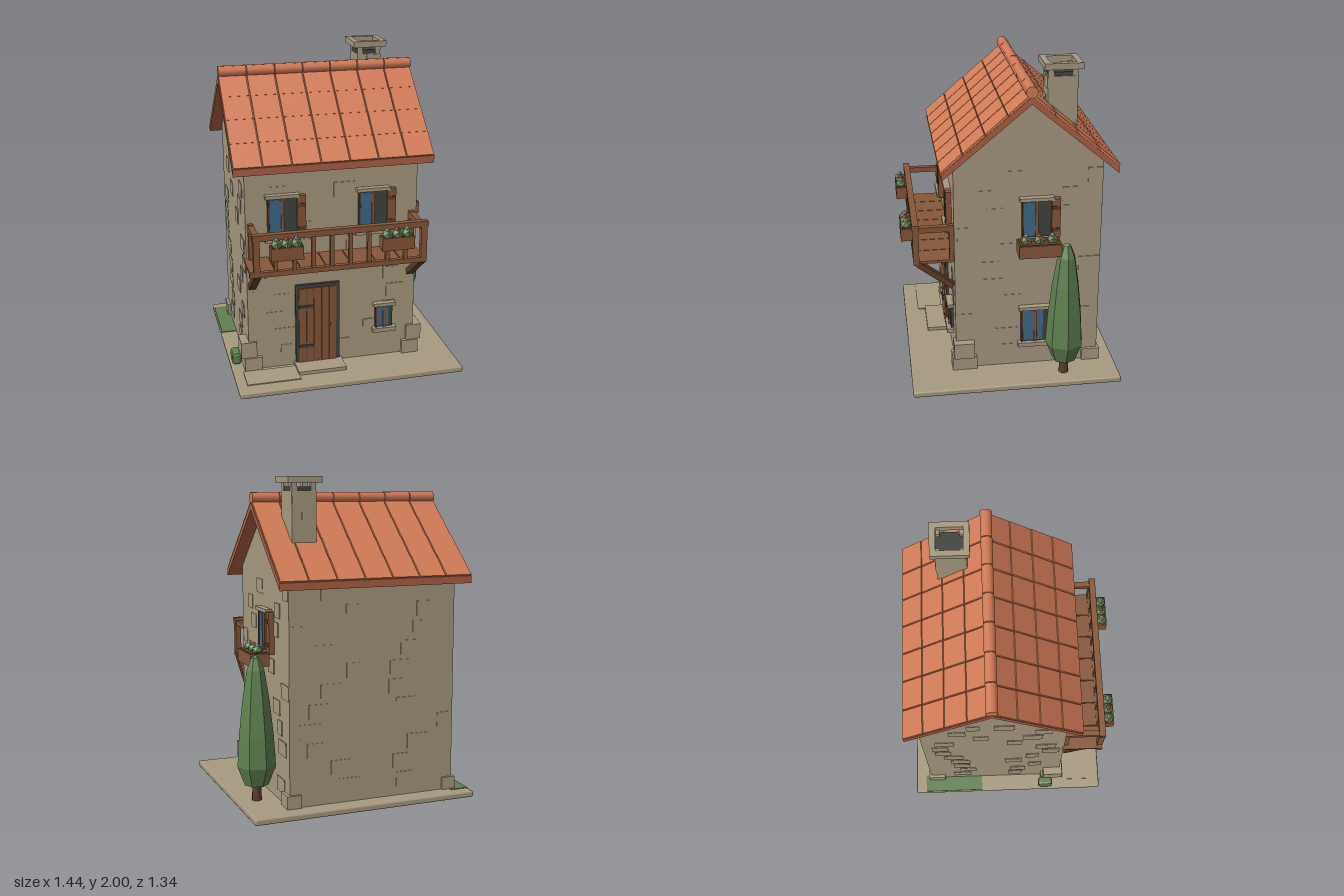
import * as THREE from 'three';
import { RoundedBoxGeometry } from 'three/addons/geometries/RoundedBoxGeometry.js';

const mat = (name, color) => {
  const m = new THREE.MeshStandardMaterial({ color });
  m.name = name;
  return m;
};
const stone = mat('stone', 0xa89a80);
const tile = mat('terracotta', 0xd27b56);
const tileDark = mat('dark terracotta', 0xae6145);
const wood = mat('wood', 0x87573a);
const darkWood = mat('dark wood', 0x5f3d29);
const charcoal = mat('charcoal', 0x40433e);
const glass = mat('glass', 0x406a8a);
const leaf = mat('leaf', 0x5f8050);
const red = mat('red petals', 0xc0583c);
const pale = mat('pale petals', 0xb3a496);
leaf.flatShading = true;

function add(parent, name, geo, m, x = 0, y = 0, z = 0) {
  const mesh = new THREE.Mesh(geo, m);
  mesh.name = name;
  mesh.position.set(x, y, z);
  parent.add(mesh);
  return mesh;
}
// Box given by its limits on each axis
function box(parent, name, m, x0, x1, y0, y1, z0, z1) {
  return add(parent, name, new THREE.BoxGeometry(x1 - x0, y1 - y0, z1 - z0), m,
    (x0 + x1) / 2, (y0 + y1) / 2, (z0 + z1) / 2);
}
function group(parent, name, x = 0, y = 0, z = 0, ry = 0) {
  const g = new THREE.Group();
  g.name = name;
  g.position.set(x, y, z);
  g.rotation.y = ry;
  parent.add(g);
  return g;
}
// Profile of [z, y] points extruded along x
function extrudeX(points, x0, x1) {
  const s = new THREE.Shape(points.map(([z, y]) => new THREE.Vector2(-z, y)));
  const g = new THREE.ExtrudeGeometry(s, { depth: x1 - x0, bevelEnabled: false });
  return g.rotateY(Math.PI / 2).translate(x0, 0, 0);
}

// Window facing +z, centred on the wall plane; glass left, dark opening right
function windowUnit(parent, x, y, z, ry, w, h, shutter, sill = true) {
  const g = group(parent, 'window', x, y, z, ry), a = w / 2, b = h / 2;
  box(g, 'windowFrame', charcoal, -a, a, -b, b, -0.01, 0.018);
  box(g, 'glassPane', glass, -a + 0.012, -0.005, -b + 0.01, b - 0.01, 0.016, 0.022);
  if (!shutter) box(g, 'glassPane', glass, 0.012, a * 0.55, -b + 0.01, b - 0.01, 0.016, 0.022);
  box(g, 'mullion', wood, -0.008, 0.01, -b, b, 0, 0.03);
  box(g, 'sideTrim', darkWood, -a, -a + 0.01, -b, b, 0, 0.028);
  box(g, 'lintel', stone, -a - 0.015, a + 0.015, b, b + 0.022, -0.01, 0.04);
  if (sill) box(g, 'sill', stone, -a - 0.02, a + 0.02, -b - 0.028, -b, -0.01, 0.045);
  if (shutter) {
    box(g, 'shutter', wood, a, a + 0.055, -b - 0.01, b + 0.01, 0, 0.035);
    for (const k of [-0.6, 0.6]) box(g, 'shutterBar', darkWood, a + 0.004, a + 0.05, b * k - 0.012, b * k + 0.012, 0.034, 0.04);
  }
}

// Flower box facing +z; origin at the middle of its bottom back edge
function planter(parent, x, y, z, ry, w, d) {
  const g = group(parent, 'planter', x, y, z, ry);
  box(g, 'planterBox', wood, -w / 2, w / 2, 0, 0.08, 0, d);
  box(g, 'planterRim', darkWood, -w / 2 + 0.008, w / 2 - 0.008, 0.076, 0.084, 0.006, d - 0.006);
  for (let i = -1; i <= 1; i++) {
    add(g, 'flowerLeaves', new THREE.IcosahedronGeometry(0.037, 0), leaf, i * w * 0.31, 0.092, d / 2);
    add(g, 'flower', new THREE.IcosahedronGeometry(0.017, 0), i ? pale : red, i * w * 0.31, 0.122, d / 2);
  }
}

export function createModel() {
  const model = new THREE.Group();
  model.name = 'stoneHouse';

  // Ground slab and paving
  add(model, 'ground', new RoundedBoxGeometry(1.44, 0.04, 1.31, 1, 0.012), stone, 0, 0.02, -0.015);
  box(model, 'grass', leaf, -0.715, -0.6, 0.036, 0.044, -0.6, -0.2);
  box(model, 'paving', stone, -0.66, -0.32, 0.036, 0.046, 0.38, 0.55);
  box(model, 'doorStep', stone, -0.325, -0.015, 0.036, 0.062, 0.34, 0.5);

  // Walls with gables
  const L = -0.615, R = 0.47, F = 0.35, B = -0.56, ridgeZ = -0.105;
  add(model, 'walls', extrudeX([[F, 0.035], [F, 1.42], [ridgeZ, 1.81], [B, 1.42], [B, 0.035]], L, R), stone);

  // Slightly raised stones scattered on each wall
  let seed = 11;
  const rnd = () => (seed = (seed * 16807) % 2147483647) / 2147483647;
  const cx = (L + R) / 2, cz = (F + B) / 2;
  const sides = [[cx, F, 0, R - L], [R, cz, Math.PI / 2, F - B], [cx, B, Math.PI, R - L], [L, cz, -Math.PI / 2, F - B]];
  for (const [x, z, ry, w] of sides) {
    const g = group(model, 'wallStones', x, 0, z, ry);
    for (let row = 0; row < 11; row++) {
      for (let k = 0; k < 2; k++) {
        const sw = 0.08 + rnd() * 0.06, u = (rnd() - 0.5) * (w / 2 - sw) + (k - 0.5) * w / 2;
        const y = 0.1 + row * 0.118;
        box(g, 'wallStone', stone, u - sw / 2, u + sw / 2, y, y + 0.09, -0.005, 0.003 + k * 0.002);
      }
    }
  }

  // Corner stones at the foot of the front corners and the back
  for (const [x, s] of [[L, -1], [R, 1]]) {
    const g = group(model, 'cornerStones', x, 0, 0);
    g.scale.x = s;
    const q = (...a) => box(g, 'cornerStone', stone, ...a);
    q(-0.08, 0.03, 0.037, 0.13, 0.22, 0.375);
    q(-0.05, 0.05, 0.13, 0.235, 0.235, 0.365);
    q(-0.07, 0.02, 0.037, 0.12, B - 0.015, B + 0.1);
  }
  for (const g of model.children.filter((c) => c.name === 'cornerStones' && c.scale.x < 0)) {
    // Mirrored by geometry so the faces keep their direction
    g.scale.x = 1;
    g.children.forEach((c) => { c.position.x *= -1; });
  }

  // Roof deck, tiles and ridge
  const rx0 = -0.69, rx1 = 0.55, cols = 7, rows = 4, run = 0.53, drop = 0.445, top = 1.845;
  add(model, 'roofDeck', extrudeX([
    [ridgeZ + run, top - drop - 0.045], [ridgeZ + run, top - drop], [ridgeZ, top], [ridgeZ - run, top - drop],
    [ridgeZ - run, top - drop - 0.045], [ridgeZ, top - 0.045]], rx0, rx1), tileDark);
  const cw = (rx1 - rx0) / cols, len = Math.hypot(run, drop) / rows;
  for (const s of [1, -1]) {
    const g = group(model, 'roofTiles', 0, top, ridgeZ);
    g.rotation.x = s * Math.atan2(drop, run);
    for (let c = 0; c < cols; c++) {
      for (let r = 0; r < rows; r++) {
        const t = add(g, 'roofTile', new THREE.BoxGeometry(cw - 0.008, 0.014, len - 0.004), tile,
          rx0 + (c + 0.5) * cw, 0.006, s * (r + 0.5) * len);
        t.rotation.x = s * 0.025;
      }
    }
  }
  for (let c = 0; c < cols; c++) {
    add(model, 'ridgeTile', new THREE.CylinderGeometry(0.037, 0.037, cw - 0.005, 8).rotateY(Math.PI / 8).rotateZ(Math.PI / 2),
      tile, rx0 + (c + 0.5) * cw, 1.87, ridgeZ);
  }

  // Chimney: shaft, dark flue, corner posts and an open square cap
  const chim = group(model, 'chimney', 0.315, 0, -0.315);
  box(chim, 'chimneyShaft', stone, -0.077, 0.077, 1.45, 1.915, -0.09, 0.09);
  box(chim, 'flue', charcoal, -0.072, 0.072, 1.913, 1.94, -0.082, 0.082);
  for (const x of [-0.06, 0.06]) for (const z of [-0.073, 0.073])
    box(chim, 'capPost', stone, x - 0.016, x + 0.016, 1.91, 1.967, z - 0.016, z + 0.016);
  for (const s of [-1, 1]) {
    const x = s * 0.09, z = s * 0.097;
    box(chim, 'capSide', stone, x - 0.018, x + 0.018, 1.962, 2, -0.079, 0.079);
    box(chim, 'capEnd', stone, -0.108, 0.108, 1.962, 2, z - 0.018, z + 0.018);
  }
  for (const [x, y] of [[-0.03, 1.72], [0.03, 1.84]])
    box(chim, 'chimneyStone', stone, x - 0.045, x + 0.045, y, y + 0.07, -0.094, 0.094);

  // Plank door
  const door = group(model, 'door', -0.172, 0, F);
  box(door, 'doorFrame', charcoal, -0.142, 0.142, 0.05, 0.597, -0.01, 0.018);
  for (let i = 0; i < 5; i++)
    box(door, 'doorPlank', wood, -0.122 + i * 0.049, -0.077 + i * 0.049, 0.06, 0.575, 0.01, 0.026);
  for (const y of [0.175, 0.45]) box(door, 'hinge', charcoal, -0.125, -0.025, y - 0.009, y + 0.009, 0.02, 0.033);
  add(door, 'doorKnob', new THREE.SphereGeometry(0.011, 8, 6), charcoal, 0.072, 0.32, 0.035);

  // Windows
  windowUnit(model, -0.39, 1.06, F, 0, 0.18, 0.25, true);
  windowUnit(model, 0.18, 1.06, F, 0, 0.18, 0.25, true);
  windowUnit(model, 0.265, 0.325, F, 0, 0.115, 0.15, false);
  windowUnit(model, R, 1.06, -0.152, Math.PI / 2, 0.18, 0.24, true, false);
  windowUnit(model, R, 0.325, -0.152, Math.PI / 2, 0.18, 0.23, false);

  // Balcony: planks, rails, balusters and braces
  const bal = group(model, 'balcony');
  const b0 = -0.63, b1 = 0.46, pw = (b1 - b0) / 7;
  for (let i = 0; i < 7; i++)
    box(bal, 'deckPlank', wood, b0 + i * pw, b0 + (i + 1) * pw - 0.005, 0.785, 0.803, F - 0.01, 0.585);
  box(bal, 'deckEdge', wood, b0 - 0.005, b1, 0.778, 0.81, 0.57, 0.598);
  box(bal, 'frontRail', wood, -0.615, 0.465, 1.008, 1.045, 0.562, 0.602);
  for (let i = 0; i < 10; i++) {
    const x = -0.59 + i * 0.1145, h = i % 9 ? 0.012 : 0.019;
    box(bal, 'baluster', wood, x - h, x + h, 0.8, 1.01, 0.582 - h, 0.582 + h);
  }
  for (const x of [-0.585, 0.435]) {
    box(bal, 'sideRail', wood, x - 0.018, x + 0.018, 0.99, 1.025, F - 0.01, 0.58);
    box(bal, 'wallPost', wood, x - 0.016, x + 0.016, 0.8, 1.03, F, F + 0.028);
    const brace = box(bal, 'brace', darkWood, x - 0.022, x + 0.022, -0.018, 0.018, -0.135, 0.135);
    brace.position.set(x, 0.7, 0.465);
    brace.rotation.x = -0.66;
  }

  // Flower boxes
  planter(model, -0.418, 0.9, 0.598, 0, 0.195, 0.068);
  planter(model, 0.257, 0.9, 0.598, 0, 0.2, 0.068);
  planter(model, 0.5, 0.858, -0.158, Math.PI / 2, 0.26, 0.12);

  // Cypress tree and bush
  const tree = group(model, 'tree', 0.6, 0, -0.32);
  add(tree, 'trunk', new THREE.CylinderGeometry(0.026, 0.032, 0.14, 7), darkWood, 0, 0.1, 0);
  const outline = [[0, 0.14], [0.075, 0.14], [0.12, 0.26], [0.108, 0.45], [0.085, 0.66], [0.055, 0.85], [0.025, 0.925], [0, 0.94]];
  add(tree, 'foliage', new THREE.LatheGeometry(outline.map(([x, y]) => new THREE.Vector2(x, y)), 7, Math.PI / 2), leaf);
  add(model, 'bush', new RoundedBoxGeometry(0.06, 0.085, 0.1, 1, 0.018), leaf, -0.685, 0.095, 0.25);

  return model;
}
